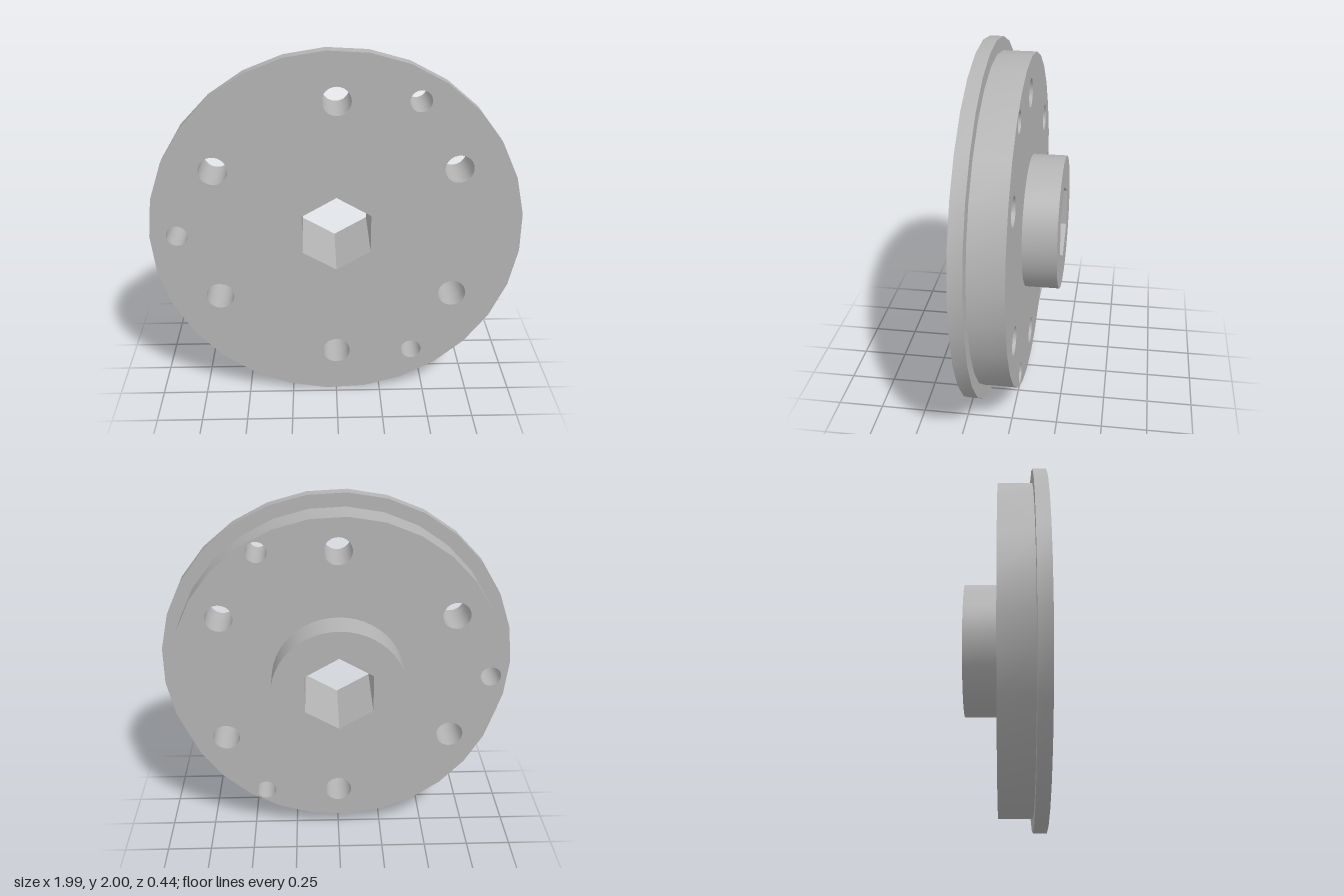
import * as THREE from 'three';
import { toCreasedNormals } from 'three/addons/utils/BufferGeometryUtils.js';

// Points of a regular polygon; the first corner sits at angle `start`
function ring(radius, sides, start = 0, cx = 0, cy = 0) {
  return Array.from({ length: sides }, (_, i) => {
    const a = start + (i / sides) * Math.PI * 2;
    return new THREE.Vector2(cx + radius * Math.cos(a), cy + radius * Math.sin(a));
  });
}

// Evenly spaced round holes on a bolt circle
function boltHoles(count, circle, radius, start) {
  return ring(circle, count, start).map((p) => new THREE.Path(ring(radius, 32, 0, p.x, p.y)));
}

export function createModel() {
  const model = new THREE.Group();
  model.name = 'hexBoreFlange';
  const metal = new THREE.MeshStandardMaterial({ color: 0xb4b4b4 });
  metal.name = 'plain grey metal';

  const hexBore = new THREE.Path(ring(0.214, 6, Math.PI / 2));
  const bolts = [
    ...boltHoles(6, 0.741, 0.076, Math.PI / 2),
    ...boltHoles(3, 0.853, 0.057, Math.PI),
  ];

  // One pierced disc between two depths
  function addDisc(name, outline, holes, back, front) {
    const shape = new THREE.Shape(outline);
    shape.holes = holes;
    const extruded = new THREE.ExtrudeGeometry(shape, { depth: front - back, bevelEnabled: false });
    const mesh = new THREE.Mesh(toCreasedNormals(extruded, 0.5), metal);
    mesh.name = name;
    mesh.position.set(0, 1, back);
    model.add(mesh);
  }

  addDisc('flangeRim', ring(1, 29, Math.PI), [hexBore, ...bolts], 0.147, 0.22);
  addDisc('flangeBody', ring(0.925, 29, Math.PI), [hexBore, ...bolts], -0.037, 0.147);
  addDisc('hub', ring(0.37, 48), [hexBore], -0.222, -0.037);

  return model;
}
